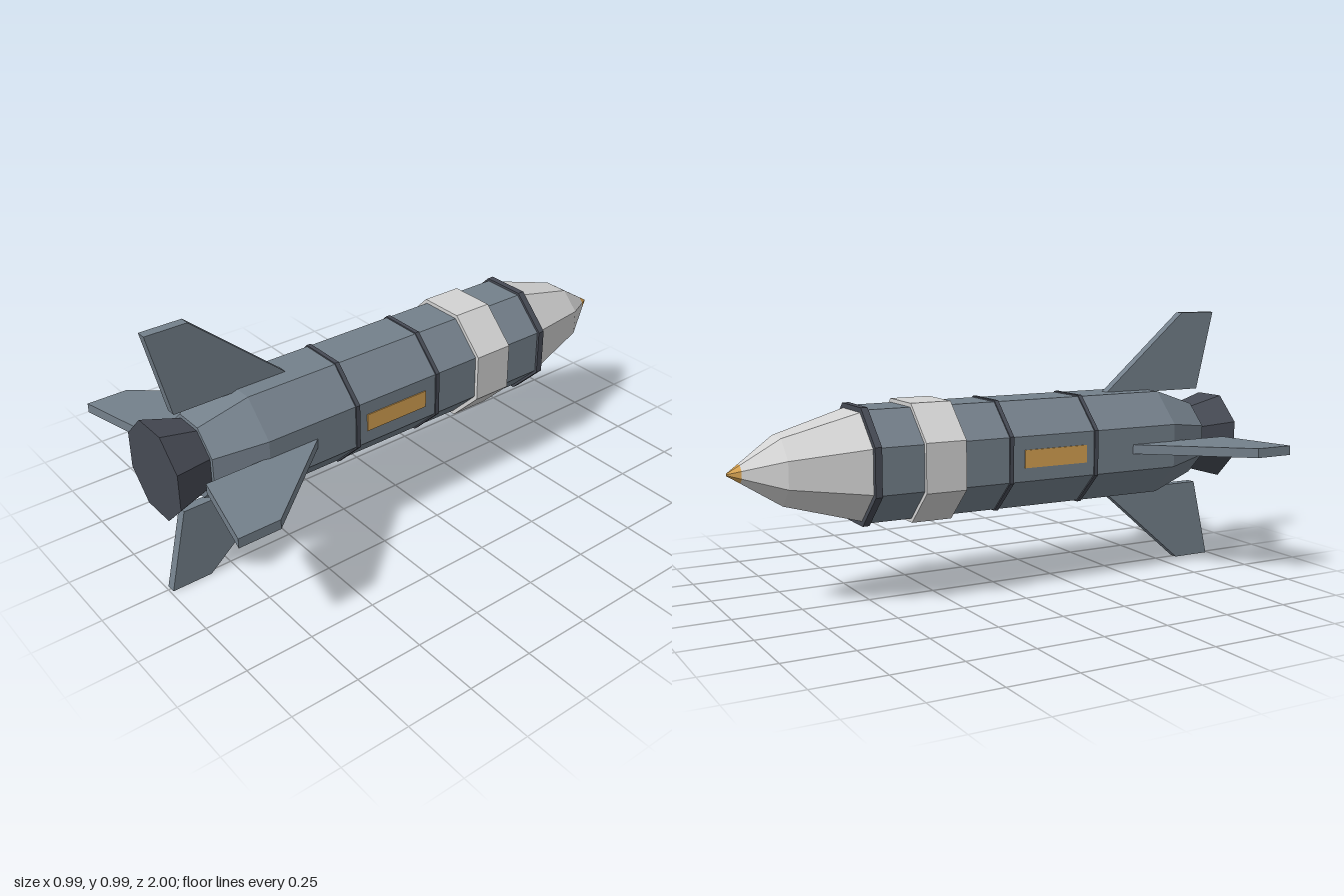
import * as THREE from 'three';

const AXIS_Y = 0.494;

const material = (name, color) => {
  const m = new THREE.MeshStandardMaterial({ color });
  m.name = name;
  return m;
};

// Octagonal frustum along z; radii are measured to the flats.
function section(z0, r0, z1, r1) {
  const k = 1 / Math.cos(Math.PI / 8);
  const g = new THREE.CylinderGeometry(r1 * k, r0 * k, z1 - z0, 8, 1, false, Math.PI / 8).toNonIndexed();
  g.computeVertexNormals();
  return g.rotateX(Math.PI / 2).translate(0, 0, (z0 + z1) / 2);
}

export function createModel() {
  const slate = material('slate', 0x74808b);
  const dark = material('darkSlate', 0x464a54);
  const light = material('lightGrey', 0xd3d3d3);
  const gold = material('gold', 0xd6a252);

  const model = new THREE.Group();
  model.name = 'rocket';
  const add = (name, geometry, mat) => {
    const mesh = new THREE.Mesh(geometry, mat);
    mesh.name = name;
    mesh.position.y = AXIS_Y;
    model.add(mesh);
    return mesh;
  };

  // Hull, tail and nozzle
  add('body', section(-0.55, 0.197, 0.68, 0.197), slate);
  add('tailCone', section(0.68, 0.197, 0.86, 0.137), slate);
  add('nozzle', section(0.855, 0.122, 1, 0.162), dark);

  // Nose
  add('noseBase', section(-0.825, 0.115, -0.55, 0.19), light);
  add('noseTaper', section(-0.957, 0.031, -0.825, 0.115), light);
  add('noseTip', section(-1, 0.004, -0.957, 0.031), gold);

  // Collars and seams
  add('lightBand', section(-0.37, 0.211, -0.217, 0.211), light);
  add('noseCollar', section(-0.555, 0.206, -0.53, 0.206), dark);
  for (const z of [-0.032, 0.323]) {
    add('seamRing', section(z - 0.008, 0.202, z + 0.008, 0.202), dark);
  }

  // Side panels
  for (const side of [-1, 1]) {
    const panel = add('sidePanel', new THREE.BoxGeometry(0.008, 0.065, 0.26), gold);
    panel.position.set(side * 0.197, AXIS_Y, 0.152);
  }

  // Four swept fins, drawn as radius against z
  const outline = [[0.19, 0.49], [0.197, 0.49], [0.494, 0.838], [0.494, 0.99], [0.197, 0.92], [0.19, 0.918]];
  const shape = new THREE.Shape(outline.map(([r, z]) => new THREE.Vector2(r, z)));
  const fin = new THREE.ExtrudeGeometry(shape, { depth: 0.035, bevelEnabled: false });
  fin.translate(0, 0, -0.0175).rotateX(Math.PI / 2);
  for (let i = 0; i < 4; i++) {
    add('fin', fin, slate).rotation.z = i * Math.PI / 2;
  }

  return model;
}
